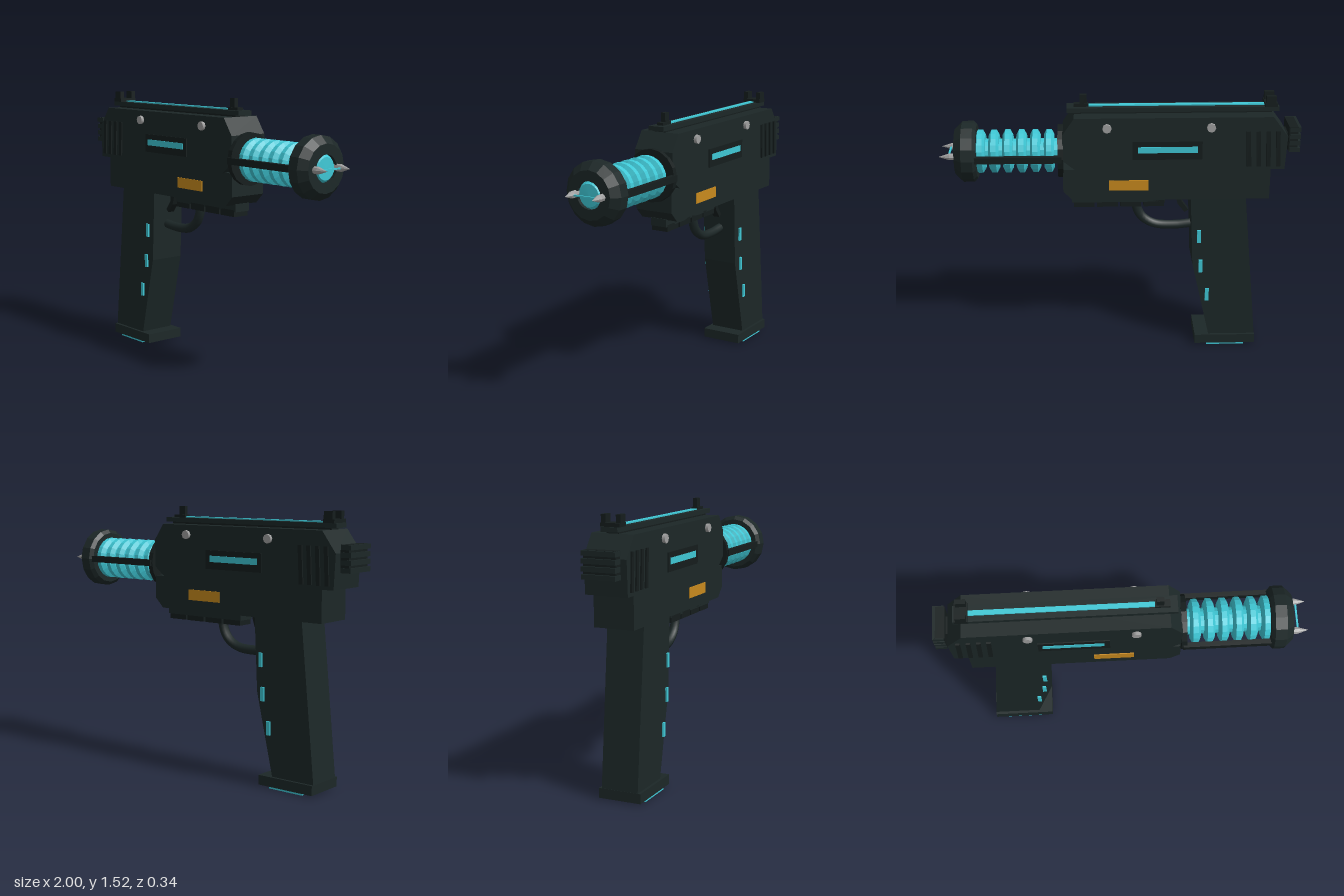
import * as THREE from 'three';

const mat = (name, color, extra = {}) => {
  const m = new THREE.MeshStandardMaterial({ color, ...extra });
  m.name = name;
  return m;
};

export function createModel() {
  const model = new THREE.Group();
  const dark = mat('dark gunmetal', 0x1c2727);
  const black = mat('black', 0x151d1d);
  const teal = mat('glowing teal', 0x3fc8d6);
  const amber = mat('amber', 0xc88a1e);
  const silver = mat('silver', 0xa0a0a0);

  const add = (name, geo, material, x = 0, y = 0, z = 0) => {
    const m = new THREE.Mesh(geo, material);
    m.name = name;
    m.position.set(x, y, z);
    model.add(m);
    return m;
  };
  // box given by its extents
  const box = (name, material, x0, x1, y0, y1, z0, z1) =>
    add(name, new THREE.BoxGeometry(x1 - x0, y1 - y0, z1 - z0), material,
      (x0 + x1) / 2, (y0 + y1) / 2, (z0 + z1) / 2);
  // side outline extruded symmetrically across z
  const slab = (name, material, points, half) => {
    const shape = new THREE.Shape(points.map(p => new THREE.Vector2(...p)));
    const geo = new THREE.ExtrudeGeometry(shape, { depth: half * 2, bevelEnabled: false });
    return add(name, geo, material, 0, 0, -half);
  };
  // profile of [x, radius] turned about the barrel axis
  const turned = (name, material, profile, x, y, z, sides) => {
    const geo = new THREE.LatheGeometry(
      profile.map(([px, r]) => new THREE.Vector2(r, px)), sides).toNonIndexed();
    geo.computeVertexNormals();
    geo.rotateZ(-Math.PI / 2);
    return add(name, geo, material, x, y, z);
  };

  // Upper and lower receiver
  slab('upperReceiver', dark, [[-0.915, 1.12], [0.24, 1.12], [0.315, 1.18], [0.315, 1.33],
    [0.25, 1.425], [-0.84, 1.425], [-0.925, 1.31]], 0.12);
  slab('lowerFrame', dark, [[-0.84, 0.94], [0.26, 0.94], [0.315, 0.995], [0.315, 1.125],
    [-0.84, 1.125]], 0.114);

  // Top rail, glow strip and sights
  box('topRail', dark, -0.88, 0.29, 1.435, 1.46, -0.047, 0.047);
  box('railFoot', black, -0.84, 0.25, 1.42, 1.44, -0.035, 0.035);
  box('railGlowStrip', teal, -0.81, 0.24, 1.46, 1.467, -0.014, 0.014);
  box('rearSightBase', black, -0.87, -0.8, 1.46, 1.48, -0.055, 0.055);
  for (const s of [-1, 1])
    box('rearSightPost', black, -0.86, -0.805, 1.47, 1.522, s * 0.042 - 0.013, s * 0.042 + 0.013);
  box('frontSightBase', black, 0.17, 0.25, 1.46, 1.475, -0.02, 0.02);
  box('frontSight', black, 0.178, 0.217, 1.46, 1.525, -0.013, 0.013);

  // Ridged rear knob
  box('rearKnob', black, -0.985, -0.935, 1.215, 1.355, -0.09, 0.09);
  for (let i = 0; i < 4; i++)
    box('knobRidge', dark, -1, -0.94, 1.21 + i * 0.0395, 1.236 + i * 0.0395, -0.095, 0.095);
  box('rearStem', black, -0.945, -0.91, 1.25, 1.31, -0.05, 0.05);

  // Details mirrored on both sides
  for (const s of [-1, 1]) {
    for (let i = 0; i < 4; i++) {
      const rib = box('gripSerration', black, -0.885 + i * 0.054, -0.861 + i * 0.054,
        1.14, 1.345, s * 0.12 - 0.009, s * 0.12 + 0.009);
      rib.rotation.z = -0.05;
    }
    box('sidePanel', black, -0.455, -0.07, 1.185, 1.29, s * 0.122 - 0.004, s * 0.122 + 0.004);
    box('sideGlow', teal, -0.43, -0.1, 1.225, 1.26, s * 0.126 - 0.003, s * 0.126 + 0.003);
    box('amberPlate', amber, -0.16, 0.06, 1.0, 1.06, s * 0.115 - 0.004, s * 0.115 + 0.004);
    for (const x of [-0.5, 0.07]) {
      const screw = add('screw', new THREE.CylinderGeometry(0.025, 0.025, 0.03, 8), silver,
        x, 1.37, s * 0.123);
      screw.rotation.x = Math.PI / 2;
    }
    for (const [x, y] of [[-0.452, 0.71], [-0.466, 0.522], [-0.508, 0.337]])
      box('gripLight', teal, x - 0.011, x + 0.011, y - 0.039, y + 0.039,
        s * 0.12 - 0.005, s * 0.12 + 0.005);
  }

  // Grip and base plate
  slab('grip', dark, [[-0.8, 0.05], [-0.53, 0.05], [-0.42, 0.53], [-0.4, 0.95], [-0.71, 0.95]], 0.106);
  box('basePlate', dark, -0.8, -0.445, 0.01, 0.065, -0.122, 0.122);
  box('baseGlow', teal, -0.735, -0.515, 0, 0.01, -0.12, 0.12);

  // Underside accessory rail
  box('underRail', dark, -0.26, 0.27, 0.9, 0.945, -0.05, 0.05);
  for (let i = 0; i < 4; i++)
    box('underRailTooth', black, -0.255 + i * 0.132, -0.137 + i * 0.132, 0.872, 0.91, -0.05, 0.05);

  // Trigger guard and trigger
  const guard = new THREE.CatmullRomCurve3([[-0.42, 0.745], [-0.32, 0.735], [-0.2, 0.745],
    [-0.13, 0.79], [-0.1, 0.85], [-0.095, 0.9]].map(p => new THREE.Vector3(...p, 0)));
  add('triggerGuard', new THREE.TubeGeometry(guard, 18, 0.027, 8), dark);
  slab('trigger', black, [[-0.35, 0.95], [-0.355, 0.89], [-0.395, 0.835], [-0.375, 0.82],
    [-0.335, 0.87], [-0.31, 0.95]], 0.02);

  // Barrel: collar, coil core, rings and side bars
  const axis = 1.198;
  turned('barrelCollar', black, [[0, 0], [0, 0.148], [0.03, 0.148], [0.03, 0]], 0.312, axis, 0, 16);
  turned('coilCore', teal, [[0, 0.07], [0.47, 0.07]], 0.33, axis, 0, 16);
  for (let i = 0; i < 6; i++)
    turned('coilRing', teal, [[-0.028, 0.065], [-0.028, 0.095], [-0.014, 0.121],
      [0.014, 0.121], [0.028, 0.095], [0.028, 0.065]], 0.39 + i * 0.0765, axis, 0, 20);
  for (const s of [-1, 1])
    box('sideBar', black, 0.32, 0.82, axis - 0.018, axis + 0.018, s * 0.142 - 0.014, s * 0.142 + 0.014);

  // Muzzle with lens, prongs and arc
  turned('muzzle', dark, [[0, 0], [0, 0.15], [0.018, 0.17], [0.08, 0.17], [0.122, 0.13],
    [0.122, 0.074], [0.1, 0.074], [0.1, 0]], 0.79, axis, 0, 16);
  turned('muzzleLens', teal, [[0, 0.074], [0.018, 0.06], [0.02, 0]], 0.892, axis, 0, 20);
  for (const s of [-1, 1])
    turned('prong', silver, [[0, 0], [0, 0.02], [0.05, 0.02], [0.11, 0]], 0.89, axis, s * 0.083, 8);
  box('arc', teal, 0.94, 0.95, axis - 0.004, axis + 0.004, -0.065, 0.065);

  return model;
}
